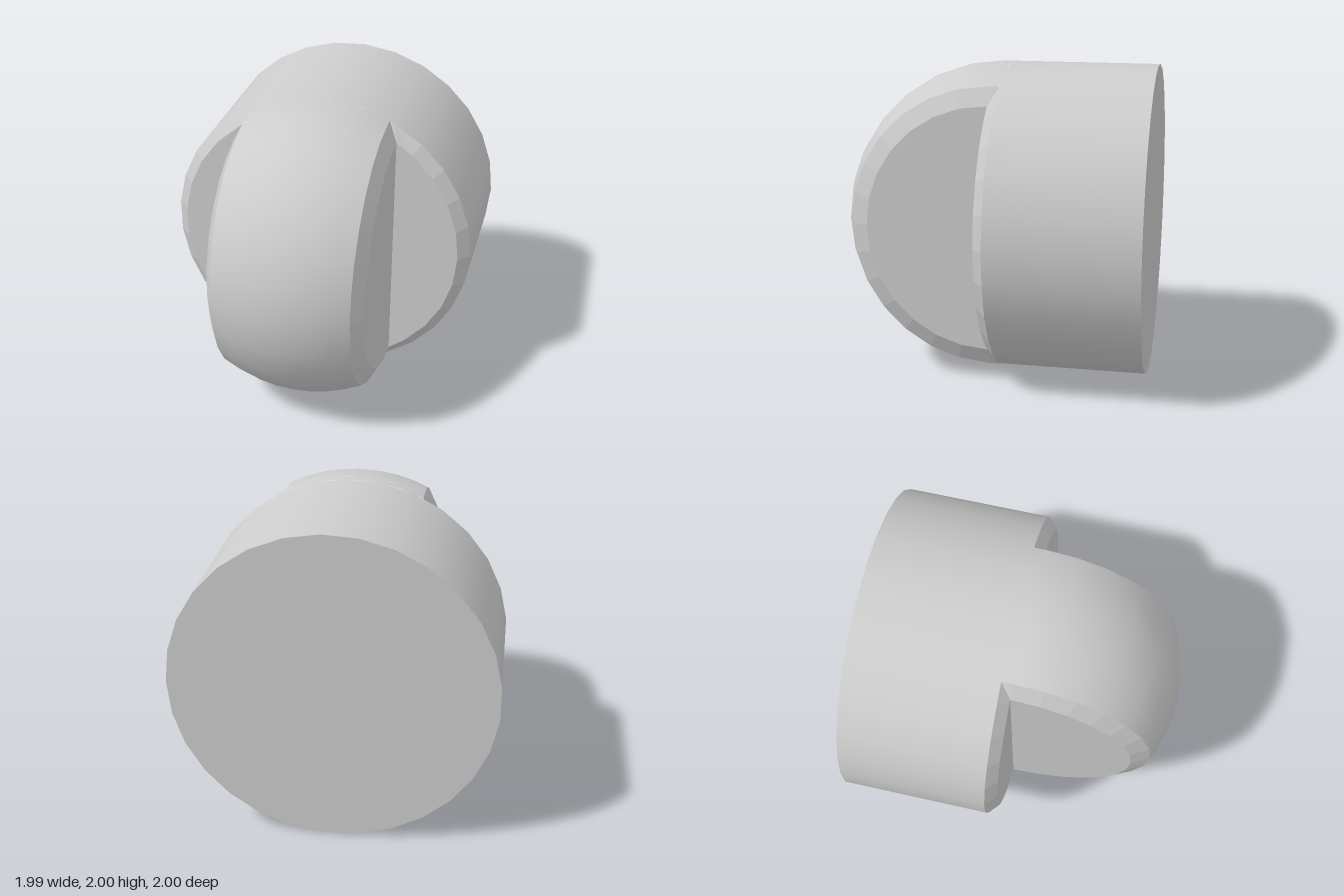
import * as THREE from 'three';

const SIDES = 29;            // facets of the round body
const ARC = 14;              // facets of the domed half-round
const BEVEL_Z = -0.065;      // where the shoulder bevel starts
const HALF = 0.5;            // half width of the tongue
const EDGE = 0.44;           // half width where its bevel starts
const EDGE_R = Math.sqrt(1 - EDGE * EDGE);
const INNER_R = 0.93;        // shoulder radius inside the bevel
const FACE_R = Math.sqrt(INNER_R ** 2 - HALF ** 2);

// Flat-faced strip between two loops of equal length; normals face out when b lies left of a
function strip(a, b, flip = false) {
  const pos = [];
  const tri = (p, q, r) => pos.push(...p, ...(flip ? r : q), ...(flip ? q : r));
  for (let i = 0; i < a.length - 1; i++) {
    tri(a[i], a[i + 1], b[i]);
    tri(a[i + 1], b[i + 1], b[i]);
  }
  const g = new THREE.BufferGeometry();
  g.setAttribute('position', new THREE.Float32BufferAttribute(pos, 3));
  g.computeVertexNormals();
  return g;
}

export function createModel() {
  const group = new THREE.Group();
  const grey = new THREE.MeshStandardMaterial({ color: 0xcccccc });
  grey.name = 'plain grey';
  const add = (name, geometry) => {
    const mesh = new THREE.Mesh(geometry, grey);
    mesh.name = name;
    mesh.position.y = 1;
    group.add(mesh);
  };

  // Round body and its flat back
  const depth = BEVEL_Z + 1;
  add('body', new THREE.CylinderGeometry(1, 1, depth, SIDES, 1, true, Math.PI / 2)
    .rotateX(Math.PI / 2).translate(0, 0, -1 + depth / 2));
  add('backFace', new THREE.CircleGeometry(1, SIDES, Math.PI).rotateY(Math.PI).translate(0, 0, -1));

  // Short collars joining the body to the dome, above and below
  const beta = Math.asin(EDGE);
  for (const [name, mid] of [['topCollar', Math.PI], ['bottomCollar', 0]]) {
    add(name, new THREE.CylinderGeometry(1, 1, -BEVEL_Z, 6, 1, true, mid - beta, 2 * beta)
      .rotateX(Math.PI / 2).translate(0, 0, BEVEL_Z / 2));
  }

  // Spherical front of the tongue
  const profile = [];
  for (let i = 0; i <= 8; i++) {
    const t = -beta + (2 * beta * i) / 8;
    profile.push(new THREE.Vector2(Math.cos(t), Math.sin(t)));
  }
  add('dome', new THREE.LatheGeometry(profile, ARC, -Math.PI / 2, Math.PI).rotateZ(Math.PI / 2));

  for (const side of [1, -1]) {
    const label = side > 0 ? 'left' : 'right';

    // Half-round tongue side with its bevel
    const outer = [], inner = [];
    for (let i = 0; i <= ARC; i++) {
      const t = (Math.PI * i) / ARC, c = Math.cos(t), s = Math.sin(t);
      outer.push([side * EDGE, EDGE_R * c, EDGE_R * s]);
      inner.push([side * HALF, FACE_R * c, FACE_R * s]);
    }
    const flat = inner.map(([x, y]) => [x, y, 0]);
    add(label + 'TongueFace', strip(inner, flat, side < 0));
    outer.unshift([side * EDGE, EDGE_R, BEVEL_Z]);
    outer.push([side * EDGE, -EDGE_R, BEVEL_Z]);
    inner.unshift(inner[0]);
    inner.push(inner[inner.length - 1]);
    add(label + 'TongueBevel', strip(outer, inner, side < 0));

    // Shoulder beside the tongue, facing forward, with its bevel
    const centre = side > 0 ? 0 : Math.PI;
    const limit = Math.acos(EDGE), innerLimit = Math.acos(HALF / INNER_R);
    const step = (2 * Math.PI) / SIDES;
    const angles = [-limit];
    for (let k = -SIDES; k <= SIDES; k++) {
      const t = k * step - centre;
      if (Math.abs(t) < limit) angles.push(t);
    }
    angles.push(limit);
    const ring = (r, max, z) => angles.map((t) => {
      const a = centre + THREE.MathUtils.clamp(t, -max, max);
      return [r * Math.cos(a), r * Math.sin(a), z];
    });
    const rim = ring(1, limit, BEVEL_Z), lip = ring(INNER_R, innerLimit, 0);
    add(label + 'ShoulderBevel', strip(rim, lip));
    add(label + 'ShoulderFace', strip(lip, lip.map(([, y]) => [side * HALF, y, 0])));
  }
  return group;
}
